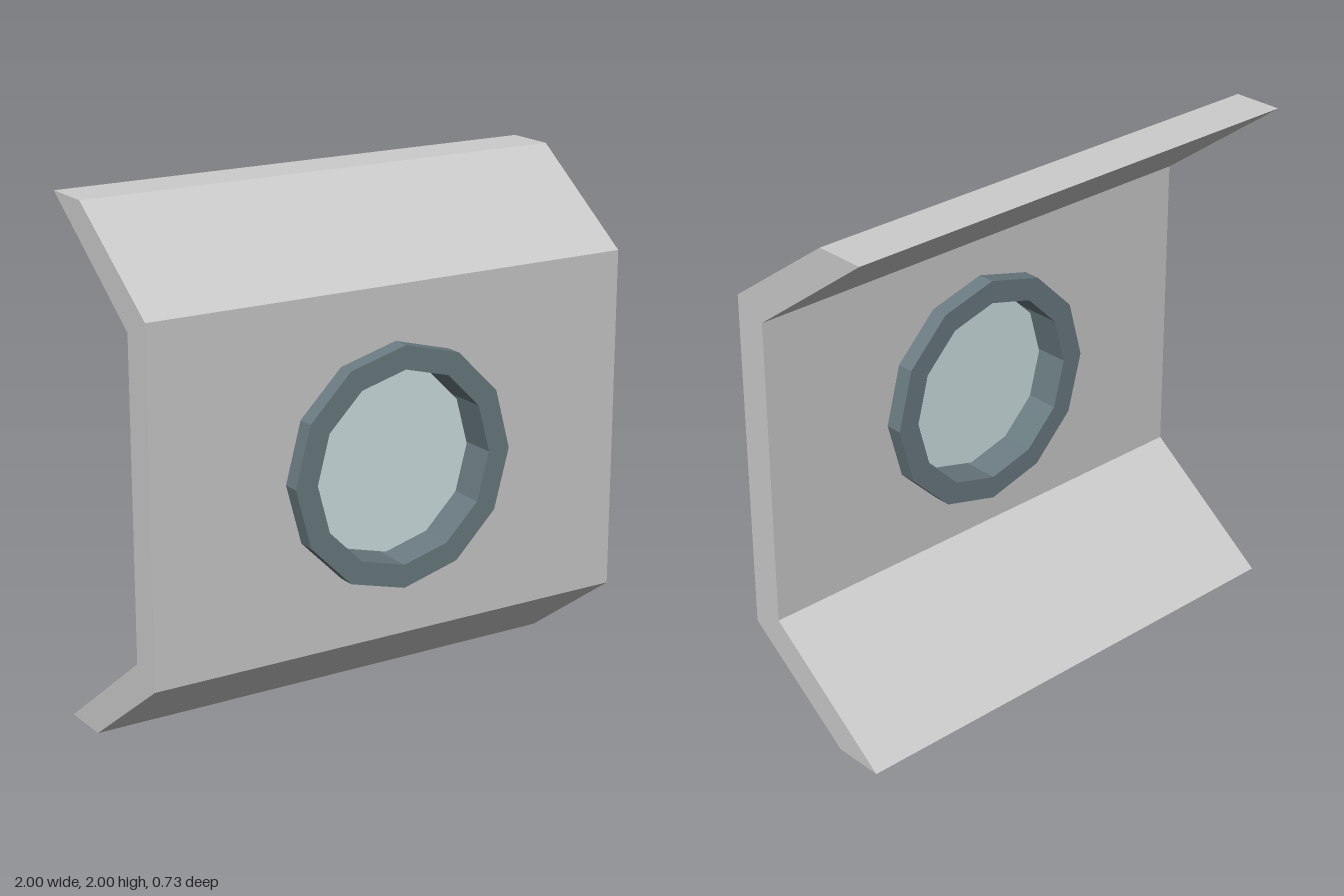
import * as THREE from 'three';
import { mergeGeometries } from 'three/addons/utils/BufferGeometryUtils.js';

const SIDES = 12;
const CENTRE_Y = 1, CENTRE_Z = 0.235;

// Regular polygon with one corner pointing up
function polygon(radius, y = 0) {
  return Array.from({ length: SIDES }, (_, i) => {
    const a = Math.PI / 2 + (i / SIDES) * Math.PI * 2;
    return new THREE.Vector2(Math.cos(a) * radius, y + Math.sin(a) * radius);
  });
}

// Bent wall panel: folded profile along x, with a round opening in its upright faces
function wallGeometry() {
  const front = 0.3, back = 0.17;
  const foldFront = 0.667, foldBack = 0.605;
  const half = [[front, foldFront], [-0.165, 1], [-0.365, 1], [back, foldBack]];
  const profile = [
    ...half.map(([z, y]) => new THREE.Vector2(z, CENTRE_Y + y)),
    ...half.slice().reverse().map(([z, y]) => new THREE.Vector2(z, CENTRE_Y - y)),
  ];
  const folded = new THREE.ExtrudeGeometry(new THREE.Shape(profile), { depth: 2, bevelEnabled: false });
  folded.rotateY(-Math.PI / 2).translate(1, 0, 0);

  // Leave out the upright faces, which are replaced by pierced ones
  const pos = folded.attributes.position, nor = folded.attributes.normal;
  const kept = [];
  for (let i = 0; i < pos.count; i += 3) {
    if (Math.abs(nor.getZ(i)) > 0.99) continue;
    for (let j = i; j < i + 3; j++) kept.push(pos.getX(j), pos.getY(j), pos.getZ(j));
  }
  const shell = new THREE.BufferGeometry();
  shell.setAttribute('position', new THREE.Float32BufferAttribute(kept, 3));
  shell.computeVertexNormals();

  const pierced = (fold, z, turn) => {
    const shape = new THREE.Shape([[-1, -fold], [1, -fold], [1, fold], [-1, fold]]
      .map(([x, y]) => new THREE.Vector2(x, y)));
    shape.holes.push(new THREE.Path(polygon(0.44)));
    const g = new THREE.ShapeGeometry(shape).toNonIndexed();
    g.deleteAttribute('uv');
    return g.rotateY(turn).translate(0, CENTRE_Y, z);
  };
  return mergeGeometries([shell, pierced(foldFront, front, 0), pierced(foldBack, back, Math.PI)]);
}

// Flat-sided plate centred on the window, optionally with a polygonal hole
function plateGeometry(radius, depth, holeRadius) {
  const shape = new THREE.Shape(polygon(radius));
  if (holeRadius) shape.holes.push(new THREE.Path(polygon(holeRadius)));
  const g = new THREE.ExtrudeGeometry(shape, { depth, bevelEnabled: false });
  return g.translate(0, CENTRE_Y, CENTRE_Z - depth / 2);
}

export function createModel() {
  const model = new THREE.Group();
  model.name = 'wallWithPorthole';
  const add = (name, geometry, color) => {
    const material = new THREE.MeshStandardMaterial({ color, flatShading: true });
    const mesh = new THREE.Mesh(geometry, material);
    mesh.name = name;
    model.add(mesh);
  };

  add('wall', wallGeometry(), 0xcccccc);
  add('windowFrame', plateGeometry(0.46, 0.265, 0.37), 0x6a7b81);
  add('windowGlass', plateGeometry(0.358, 0.015), 0xd1e3e6);
  return model;
}
